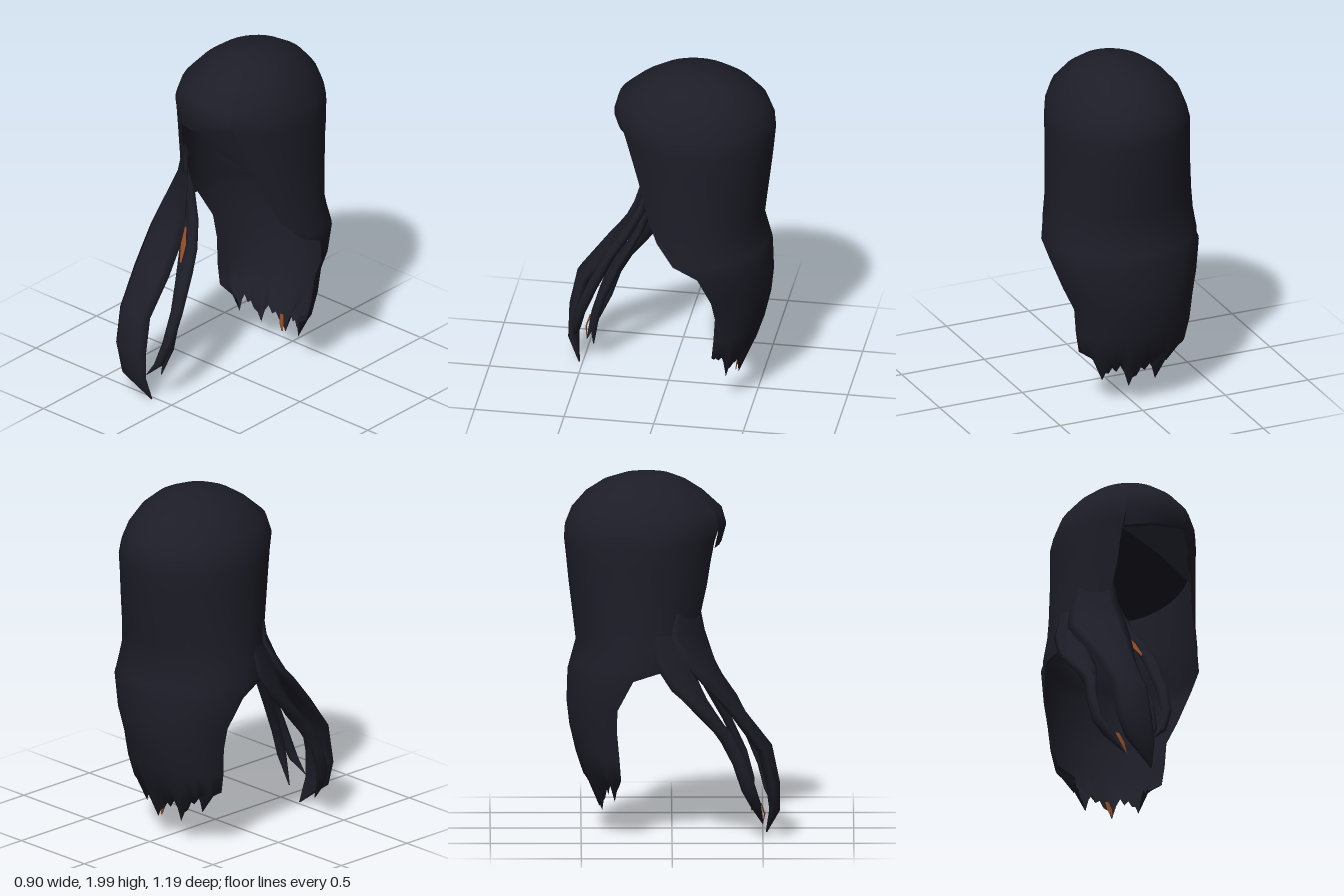
import * as THREE from 'three';

const hair = new THREE.MeshStandardMaterial({ color: 0x1d1d28, side: THREE.DoubleSide });
hair.name = 'dark hair';
const copper = new THREE.MeshStandardMaterial({ color: 0x8f4a22, side: THREE.DoubleSide });
copper.name = 'copper underside';

const rad = THREE.MathUtils.degToRad;

// Skin a list of rows (top to bottom, points running anticlockwise from above)
function loft(rows, closed) {
  const n = rows[0].length, index = [];
  for (let i = 0; i < rows.length - 1; i++) {
    for (let j = 0; j < (closed ? n : n - 1); j++) {
      const k = (j + 1) % n;
      const a = i * n + j, b = i * n + k, c = a + n, d = b + n;
      index.push(a, c, d, a, d, b);
    }
  }
  const g = new THREE.BufferGeometry();
  g.setAttribute('position', new THREE.Float32BufferAttribute(rows.flat(2), 3));
  g.setIndex(index);
  g.computeVertexNormals();
  return g;
}

// Points along an elliptical arc; angle 0 faces front, 90 the left side
function arc([y, cx, cz, rx, rz], from, to, count) {
  return Array.from({ length: count + 1 }, (_, j) => {
    const t = rad(from + ((to - from) * j) / count);
    return [cx + Math.sin(t) * rx, y, cz + Math.cos(t) * rz];
  });
}

// A lens-shaped lock following rows of [x, y, z, halfWidth, halfDepth, yaw]
function lockGeometry(path, sides = 8) {
  const rows = path.map(([x, y, z, w, d, yaw = 0], i) => {
    const p = path[Math.max(i - 1, 0)], q = path[Math.min(i + 1, path.length - 1)];
    const ty = q[1] - p[1], tz = q[2] - p[2], len = Math.hypot(ty, tz);
    const c = Math.cos(rad(yaw)), s = Math.sin(rad(yaw));
    return Array.from({ length: sides }, (_, j) => {
      const t = (j / sides) * Math.PI * 2, depth = Math.cos(t) * d;
      const ox = Math.sin(t) * w, oz = (-depth * ty) / len;
      return [x + ox * c - oz * s, y + (depth * tz) / len, z + ox * s + oz * c];
    });
  });
  return loft(rows, true);
}

export function createModel() {
  const group = new THREE.Group();
  const add = (name, geometry, material = hair) => {
    const mesh = new THREE.Mesh(geometry, material);
    mesh.name = name;
    group.add(mesh);
    return mesh;
  };

  // Crown sections [y, cx, cz, rx, rz], shared by the long hair and the fringe
  const crown = [
    [2.0, 0.02, -0.13, 0, 0], [1.985, 0.02, -0.14, 0.11, 0.13],
    [1.95, 0.015, -0.15, 0.2, 0.23], [1.89, 0.01, -0.15, 0.275, 0.325],
    [1.8, 0, -0.14, 0.345, 0.415], [1.71, 0, -0.145, 0.38, 0.445],
    [1.64, 0, -0.16, 0.395, 0.435],
  ];
  const fringeLeft = 32, fringeRight = 25;

  // Long hair below the crown, with its left and right front edge angles
  const lengths = [
    [1.52, 0, -0.163, 0.398, 0.42, 39, 27], [1.4, 0, -0.165, 0.4, 0.405, 45, 28],
    [1.2, 0, -0.17, 0.41, 0.375, 51, 32], [1.07, 0, -0.17, 0.425, 0.36, 61, 39],
    [0.96, 0, -0.18, 0.44, 0.38, 77, 60], [0.9, 0, -0.2, 0.445, 0.375, 95, 92],
    [0.73, -0.01, -0.22, 0.41, 0.36, 103, 103], [0.6, -0.025, -0.26, 0.36, 0.305, 100, 98],
    [0.45, -0.025, -0.28, 0.34, 0.25, 95, 92], [0.33, -0.025, -0.28, 0.315, 0.21, 92, 90],
    [0.12, -0.01, -0.29, 0.22, 0.11, 90, 90],
  ];
  const tips = [0.06, 0.1, 0.08, 0.12, 0.08, 0.0, 0.05];
  const longRows = [...crown.map((r) => [...r, fringeLeft, fringeRight]), ...lengths]
    .map((r) => arc(r, r[5], 360 - r[6], 28));
  longRows.at(-1).forEach((p, j) => {
    p[1] += tips[j % tips.length] + 0.1 * (j / 14 - 1) ** 2;
  });
  add('longHair', loft(longRows, false));

  // Fringe closing the front of the crown, its lower edge slanting
  const fringeRows = crown.map((r) => arc(r, -fringeRight, fringeLeft, 6));
  fringeRows.at(-1).forEach((p) => { p[1] = 1.625 + p[0] * 0.15; });
  add('fringe', loft(fringeRows, false));

  // Sloping underside of the crown
  const ceiling = add('crownUnderside', new THREE.CircleGeometry(1, 32).scale(0.37, 0.4, 1));
  ceiling.position.set(0, 1.49, -0.165);
  ceiling.rotation.x = rad(74);

  // Side fringe falling from the parting to the left temple
  add('sideFringe', loft([
    [[-0.17, 1.6, 0.205], [0.02, 1.63, 0.24], [0.21, 1.66, 0.19]],
    [[-0.17, 1.6, 0.205], [0.06, 1.49, 0.19], [0.285, 1.38, 0.115]],
  ], false));

  // Locks swept forward over the right shoulder, rooted inside the long hair
  const locks = {
    frontLock: [
      [-0.26, 1.35, 0.09, 0.08, 0.008, 40], [-0.285, 1.15, 0.09, 0.14, 0.02, 40],
      [-0.29, 1.0, 0.145, 0.165, 0.035, 30], [-0.28, 0.87, 0.235, 0.15, 0.04, 15],
      [-0.27, 0.7, 0.36, 0.125, 0.04], [-0.26, 0.5, 0.51, 0.11, 0.045],
      [-0.25, 0.3, 0.555, 0.11, 0.04], [-0.22, 0.15, 0.565, 0.09, 0.03],
      [-0.13, 0.01, 0.52, 0.004, 0.004]],
    outerLock: [
      [-0.365, 1.2, -0.05, 0.06, 0.008, 65], [-0.395, 1.0, 0.0, 0.11, 0.025, 65],
      [-0.4, 0.85, 0.08, 0.1, 0.03, 55], [-0.385, 0.7, 0.2, 0.065, 0.035, 30],
      [-0.395, 0.58, 0.3, 0.034, 0.04], [-0.42, 0.45, 0.37, 0.027, 0.04],
      [-0.41, 0.3, 0.42, 0.025, 0.04], [-0.36, 0.2, 0.46, 0.025, 0.03],
      [-0.27, 0.08, 0.5, 0.003, 0.003]],
    innerLock: [
      [-0.23, 1.3, 0.13, 0.02, 0.008, 25], [-0.2, 1.15, 0.125, 0.05, 0.02, 25],
      [-0.14, 1.0, 0.17, 0.05, 0.025, 15], [-0.075, 0.87, 0.25, 0.037, 0.03],
      [-0.047, 0.75, 0.33, 0.045, 0.03], [-0.025, 0.55, 0.43, 0.037, 0.03],
      [-0.03, 0.38, 0.5, 0.03, 0.03], [-0.07, 0.25, 0.53, 0.025, 0.025],
      [-0.14, 0.17, 0.55, 0.003, 0.003]],
    thinLock: [
      [-0.25, 1.1, 0.08, 0.05, 0.02, 30], [-0.16, 0.85, 0.19, 0.05, 0.025],
      [-0.11, 0.65, 0.3, 0.04, 0.025], [-0.08, 0.45, 0.39, 0.03, 0.025],
      [-0.08, 0.3, 0.43, 0.025, 0.025], [-0.13, 0.13, 0.44, 0.003, 0.003]],
  };
  for (const [name, path] of Object.entries(locks)) add(name, lockGeometry(path));

  // Copper slivers between the locks and at the tips
  const slivers = [
    [[-0.15, 0.95, 0.21, 0.01, 0.004], [-0.122, 0.87, 0.26, 0.026, 0.004], [-0.098, 0.79, 0.315, 0.008, 0.004]],
    [[0.01, 0.22, -0.4, 0.012, 0.004], [0.02, 0.17, -0.385, 0.016, 0.004], [0.03, 0.13, -0.38, 0.004, 0.002]],
    [[-0.32, 0.2, 0.49, 0.012, 0.004], [-0.3, 0.14, 0.51, 0.014, 0.004], [-0.27, 0.08, 0.5, 0.002, 0.002]],
  ];
  slivers.forEach((path) => add('copperSliver', lockGeometry(path, 6), copper));

  return group;
}
